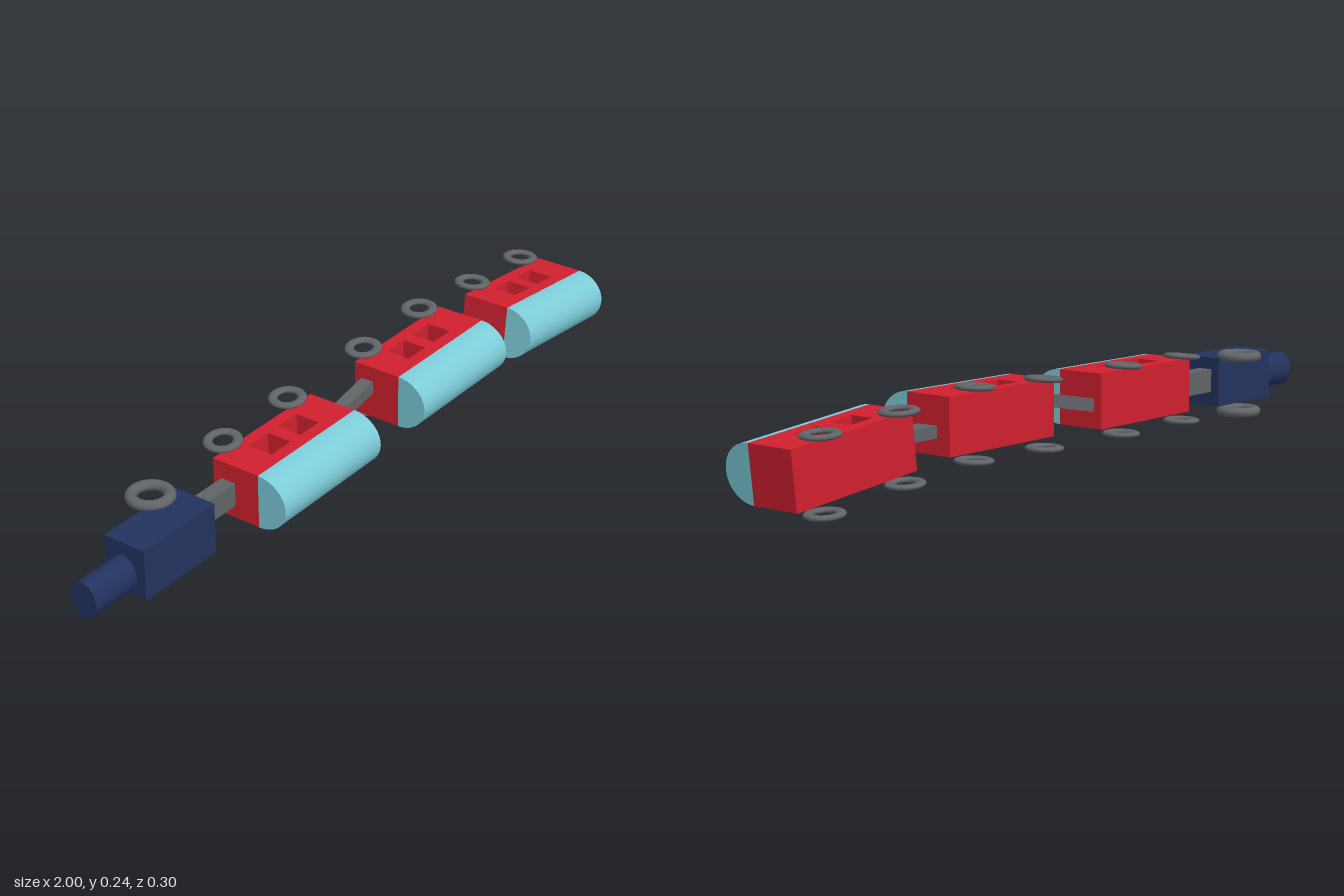
import * as THREE from 'three';

const paint = (color) => new THREE.MeshStandardMaterial({ color });
const RED = paint(0xd0202f), TEAL = paint(0x7ccbd8), NAVY = paint(0x22335f), GREY = paint(0x606466);
const DEG = Math.PI / 180;

function add(parent, name, geometry, material, x = 0, y = 0, z = 0, tilt = 0) {
  const mesh = new THREE.Mesh(geometry, material);
  mesh.name = name;
  mesh.position.set(x, y, z);
  mesh.rotation.z = tilt * DEG;
  parent.add(mesh);
  return mesh;
}

// Ring wheel with its axle along y
function addWheel(parent, x, y, z, radius, tube, thickness, tilt) {
  const ring = new THREE.TorusGeometry(radius, tube, 14, 36);
  ring.rotateX(Math.PI / 2);
  ring.scale(1, thickness / (2 * tube), 1);
  add(parent, 'wheel', ring, GREY, x, y, z, tilt);
}

const LENGTH = 0.384, WIDTH = 0.145, FLOOR = -0.072, EAVES = 0.065, ROOF_RISE = 0.082;

// Carriage body with two window openings running right through
function bodyGeometry() {
  const rect = (path, x0, x1, z0, z1) => path.moveTo(x0, z0).lineTo(x1, z0).lineTo(x1, z1).lineTo(x0, z1).closePath();
  const shape = new THREE.Shape();
  rect(shape, -LENGTH / 2, LENGTH / 2, FLOOR, EAVES);
  for (const x of [-0.06, 0.054]) {
    const opening = new THREE.Path();
    rect(opening, x - 0.0375, x + 0.0375, -0.038, 0.031);
    shape.holes.push(opening);
  }
  const geometry = new THREE.ExtrudeGeometry(shape, { depth: WIDTH, bevelEnabled: false });
  geometry.rotateX(Math.PI / 2);
  geometry.translate(0, WIDTH / 2, 0);
  return geometry;
}

// Half-round roof along x
function roofGeometry() {
  const geometry = new THREE.CylinderGeometry(WIDTH / 2, WIDTH / 2, LENGTH, 40, 1, false, -Math.PI / 2, Math.PI);
  geometry.rotateZ(Math.PI / 2);
  geometry.scale(1, 1, ROOF_RISE / (WIDTH / 2));
  return geometry;
}

// wheels: [x, y, tilt in degrees]
function addCarriage(parent, x, y, tilt, wheels) {
  const car = new THREE.Group();
  car.name = 'carriage';
  const shell = new THREE.Group();
  shell.name = 'carriageShell';
  shell.position.set(x, y, 0);
  shell.rotation.z = tilt * DEG;
  add(shell, 'carriageBody', bodyGeometry(), RED);
  add(shell, 'carriageRoof', roofGeometry(), TEAL, 0, 0, EAVES);
  car.add(shell);
  for (const [wx, wy, wt] of wheels) addWheel(car, wx, wy, -0.09, 0.037, 0.012, 0.014, wt);
  parent.add(car);
}

export function createModel() {
  const train = new THREE.Group();
  train.name = 'toyTrain';

  // Engine: cab, boiler and one pair of larger wheels
  const engine = new THREE.Group();
  engine.name = 'engine';
  add(engine, 'engineCab', new THREE.BoxGeometry(0.248, 0.134, 0.118), NAVY, -0.731, 0.131, -0.014);
  const boiler = new THREE.CylinderGeometry(0.047, 0.047, 0.135, 32);
  boiler.rotateZ(Math.PI / 2);
  boiler.scale(1, 1, 0.82);
  add(engine, 'boiler', boiler, NAVY, -0.9325, 0.125, -0.01);
  for (const y of [0.201, 0.048]) addWheel(engine, -0.671, y, -0.095, 0.046, 0.015, 0.026, 0);
  train.add(engine);

  // Carriages, each lying at its own angle
  addCarriage(train, -0.278, 0.14, 0, [[-0.41, 0.226, 6], [-0.156, 0.228, 4], [-0.41, 0.053, 2], [-0.147, 0.052, 2]]);
  addCarriage(train, 0.296, 0.148, 0, [[0.165, 0.229, 5], [0.419, 0.238, 3], [0.162, 0.056, 2], [0.423, 0.061, 2]]);
  addCarriage(train, 0.8, 0.1125, -6, [[0.678, 0.212, -4], [0.926, 0.191, -4], [0.66, 0.041, -4], [0.917, 0.0115, -4]]);

  // Coupling bars
  add(train, 'couplingBar', new THREE.BoxGeometry(0.136, 0.063, 0.042), GREY, -0.539, 0.134, -0.026);
  add(train, 'couplingBar', new THREE.BoxGeometry(0.194, 0.034, 0.036), GREY, 0.009, 0.147, -0.031, 11);
  add(train, 'couplingBar', new THREE.BoxGeometry(0.108, 0.03, 0.06), GREY, 0.551, 0.134, -0.01);

  return train;
}
